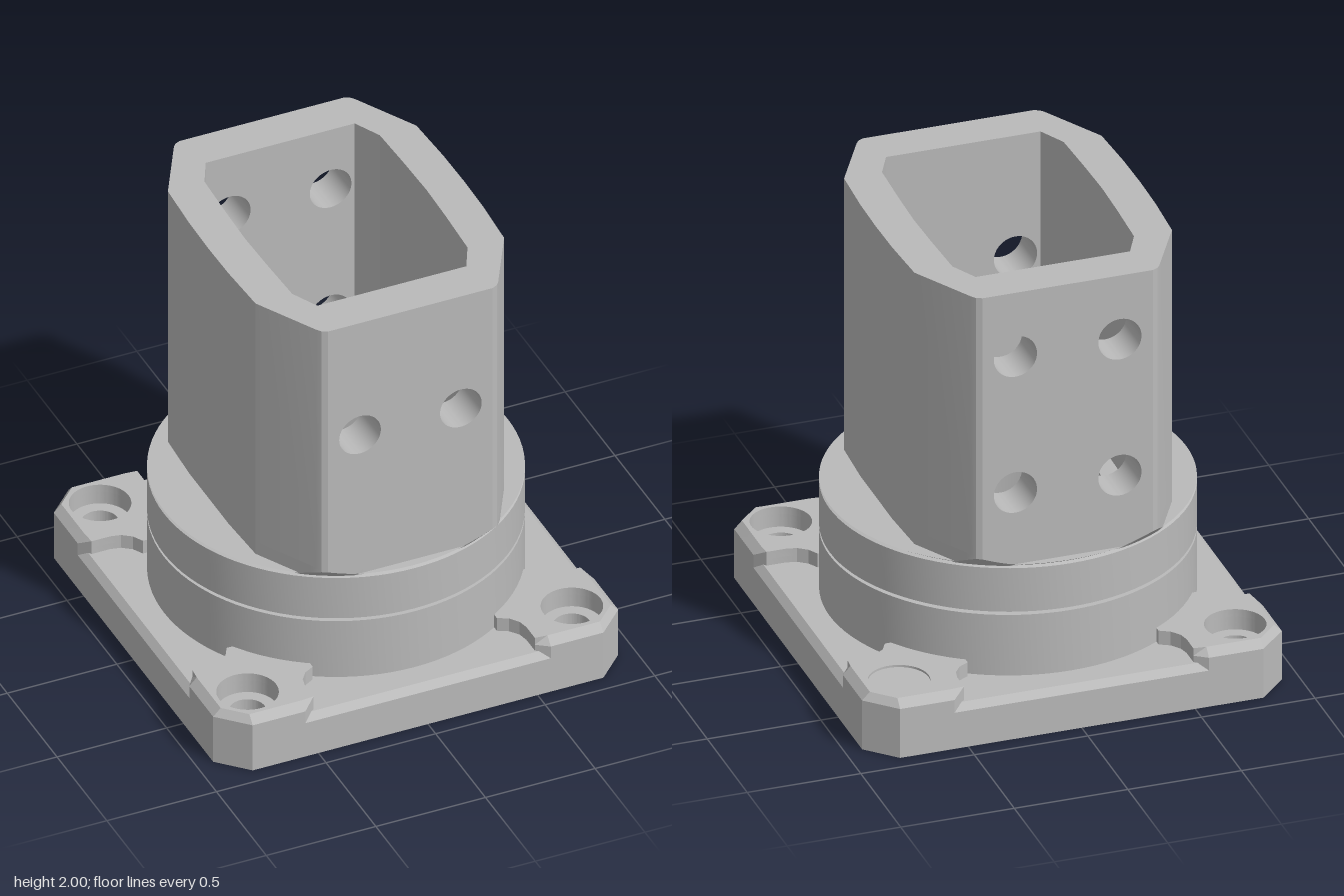
import * as THREE from 'three';
import { toCreasedNormals } from 'three/addons/utils/BufferGeometryUtils.js';

const V = (x, y) => new THREE.Vector2(x, y);

export function createModel() {
  const model = new THREE.Group();
  const grey = new THREE.MeshStandardMaterial({ color: 0xbababa });
  grey.name = 'machined grey';

  const add = (name, geometry, parent = model) => {
    const mesh = new THREE.Mesh(toCreasedNormals(geometry, 0.3), grey);
    mesh.name = name;
    parent.add(mesh);
    return mesh;
  };
  const circle = (x, y, r) => new THREE.Path().absarc(x, y, r, 0, Math.PI * 2, true);

  // Upright prism from a plan outline, between two heights
  const slab = (pts, holes, y0, y1) => {
    const shape = new THREE.Shape(pts);
    shape.holes.push(...holes);
    const g = new THREE.ExtrudeGeometry(shape, { depth: y1 - y0, bevelEnabled: false, curveSegments: 48 });
    return g.rotateX(-Math.PI / 2).translate(0, y0, 0);
  };

  // Side skin through stacked plan outlines; heightAt gives the height of each point
  const skin = (rings) => {
    const pos = [], idx = [], n = rings[0].pts.length;
    rings.forEach(({ pts, heightAt }) => pts.forEach((p) => pos.push(p.x, heightAt(p), -p.y)));
    for (let r = 0; r < rings.length - 1; r++) {
      for (let i = 0; i < n; i++) {
        const j = (i + 1) % n, a = r * n + i, b = r * n + j;
        idx.push(a, b, b + n, a, b + n, a + n);
      }
    }
    const g = new THREE.BufferGeometry();
    g.setAttribute('position', new THREE.Float32BufferAttribute(pos, 3));
    g.setIndex(idx);
    g.computeVertexNormals();
    return g;
  };
  const ring = (pts, y) => ({ pts, heightAt: () => y });

  // Counter-clockwise outline mirrored from one quarter (from +x axis side to +y side)
  const mirrored = (q) => {
    const flip = (sx, sy, rev) => {
      const a = q.map(([x, y]) => V(x * sx, y * sy));
      return rev ? a.reverse() : a;
    };
    return [...flip(1, 1, false), ...flip(-1, 1, true), ...flip(-1, -1, false), ...flip(1, -1, true)];
  };

  // Base plate
  const S = 0.924, B = 0.895;
  const plate = (s) => mirrored([[s, 0.8], [0.8, s]]);
  const C = 0.74;
  const corners = [[C, C], [-C, C], [-C, -C], [C, -C]];
  const bolts = (r) => corners.map(([x, y]) => circle(x, y, r));

  // Underside pocket with a round boss kept around each bolt hole
  const quarter = [];
  const p = 0.85, br = 0.22, start = Math.acos((p - C) / br);
  for (let i = 0; i <= 12; i++) {
    const a = -start - (i / 12) * (Math.PI * 1.5 - 2 * start);
    quarter.push([C + br * Math.cos(a), C + br * Math.sin(a)]);
  }
  const pocket = new THREE.Path(mirrored(quarter));
  add('baseRim', slab(plate(S), [pocket, ...bolts(0.078)], 0, 0.06));
  add('basePlate', slab(plate(S), [circle(0, 0, 0.75), ...bolts(0.078)], 0.06, 0.17));
  add('baseTop', slab(plate(B), [circle(0, 0, 0.75), ...bolts(0.13)], 0.17, 0.2));
  add('baseTopBevel', skin([ring(plate(S), 0.17), ring(plate(B), 0.2)]));

  // Raised corner pads with counterbores
  const padOutline = (s) => [
    [0.885, 0.505], [s, 0.56], [s, 0.8], [0.8, s], [0.56, s], [0.505, 0.885],
    [0.505, 0.8], [0.495, 0.755], [0.465, 0.715], [0.42, 0.69],
    [0.42, 0.6], [0.6, 0.42], [0.69, 0.42], [0.715, 0.465], [0.755, 0.495], [0.8, 0.505],
  ].map(([x, y]) => V(x, y));
  for (let k = 0; k < 4; k++) {
    const pad = new THREE.Group();
    pad.name = 'cornerPad' + (k + 1);
    pad.rotation.y = (k * Math.PI) / 2;
    add('padBody', slab(padOutline(S), [circle(C, C, 0.13)], 0.17, 0.23), pad);
    add('padTop', slab(padOutline(0.89), [circle(C, C, 0.13)], 0.23, 0.265), pad);
    add('padBevel', skin([ring(padOutline(S), 0.23), ring(padOutline(0.89), 0.265)]), pad);
    model.add(pad);
  }
  add('cornerPlug', new THREE.CylinderGeometry(0.132, 0.132, 0.085, 48).translate(C, 0.2125, -C));

  // Round collar with groove, lip, underside recess and bore
  const collar = [
    [0.468, 0.69], [0.468, 0.27], [0.476, 0.26], [0.476, 0.17], [0.68, 0.17], [0.68, 0.11],
    [0.75, 0.06], [0.75, 0.17], [0.785, 0.17], [0.785, 0.485], [0.63, 0.485], [0.63, 0.5],
    [0.785, 0.5], [0.785, 0.705], [0.768, 0.711], [0.785, 0.722], [0.5, 0.722],
  ].map(([x, y]) => V(x, y));
  add('collar', new THREE.LatheGeometry(collar, 96));

  // Tube cross-section
  const D = 0.747, T = 0.56, W = 0.34;
  const outer = [[0.583, 0], [0.58, 0.2], [0.567, 0.44], [0.415, 0.715], [0.4, 0.735], [0.375, D]];
  const inner = [[0.415, 0], [0.41, 0.2], [0.4, 0.44], [W, T]];

  // Floor at the bottom of the tube, with a narrower opening
  const opening = new THREE.Path(mirrored([[0.335, 0.01], [0.33, 0.34], [0.29, 0.45]]));
  add('tubeFloor', slab(mirrored(inner.slice(1).map(([x, y]) => [x * 1.04, y * 1.04])), [opening], 0.69, 0.775));

  // Tube foot, its corners trimmed by a cone to the collar
  const coarse = mirrored(outer.slice(1));
  const fine = [];
  coarse.forEach((a, i) => {
    const b = coarse[(i + 1) % coarse.length];
    const steps = Math.max(1, Math.round(a.distanceTo(b) / 0.03));
    for (let t = 0; t < steps; t++) fine.push(a.clone().lerp(b, t / steps));
  });
  add('tubeFoot', skin([
    ring(fine.map((v) => v.clone().clampLength(0, 0.783)), 0.715),
    { pts: fine, heightAt: (v) => 0.721 + 0.92 * Math.max(0, v.length() - 0.783) },
    ring(fine, 0.785),
  ]));

  // Bowed side walls
  const half = (q) => [...q.slice(1).map(([x, y]) => V(x, -y)).reverse(), ...q.map(([x, y]) => V(x, y))];
  const side = [V(W, -D), ...half(outer), V(W, D), ...half(inner).reverse()];
  ['leftWall', 'rightWall'].forEach((name, i) => {
    add(name, slab(side, [], 0.785, 2)).rotation.y = i * Math.PI;
  });

  // Flat front and back walls drilled for cross screws
  const drilled = (rows) => {
    const wall = new THREE.Shape([V(-W, 0.785), V(W, 0.785), V(W, 2), V(-W, 2)]);
    rows.forEach((y) => [-0.23, 0.23].forEach((x) => wall.holes.push(circle(x, y, 0.095))));
    return new THREE.ExtrudeGeometry(wall, { depth: D - T, bevelEnabled: false, curveSegments: 32 });
  };
  add('frontWall', drilled([1.43]).translate(0, 0, T));
  add('backWall', drilled([1.7, 1.06]).translate(0, 0, -D));

  return model;
}
